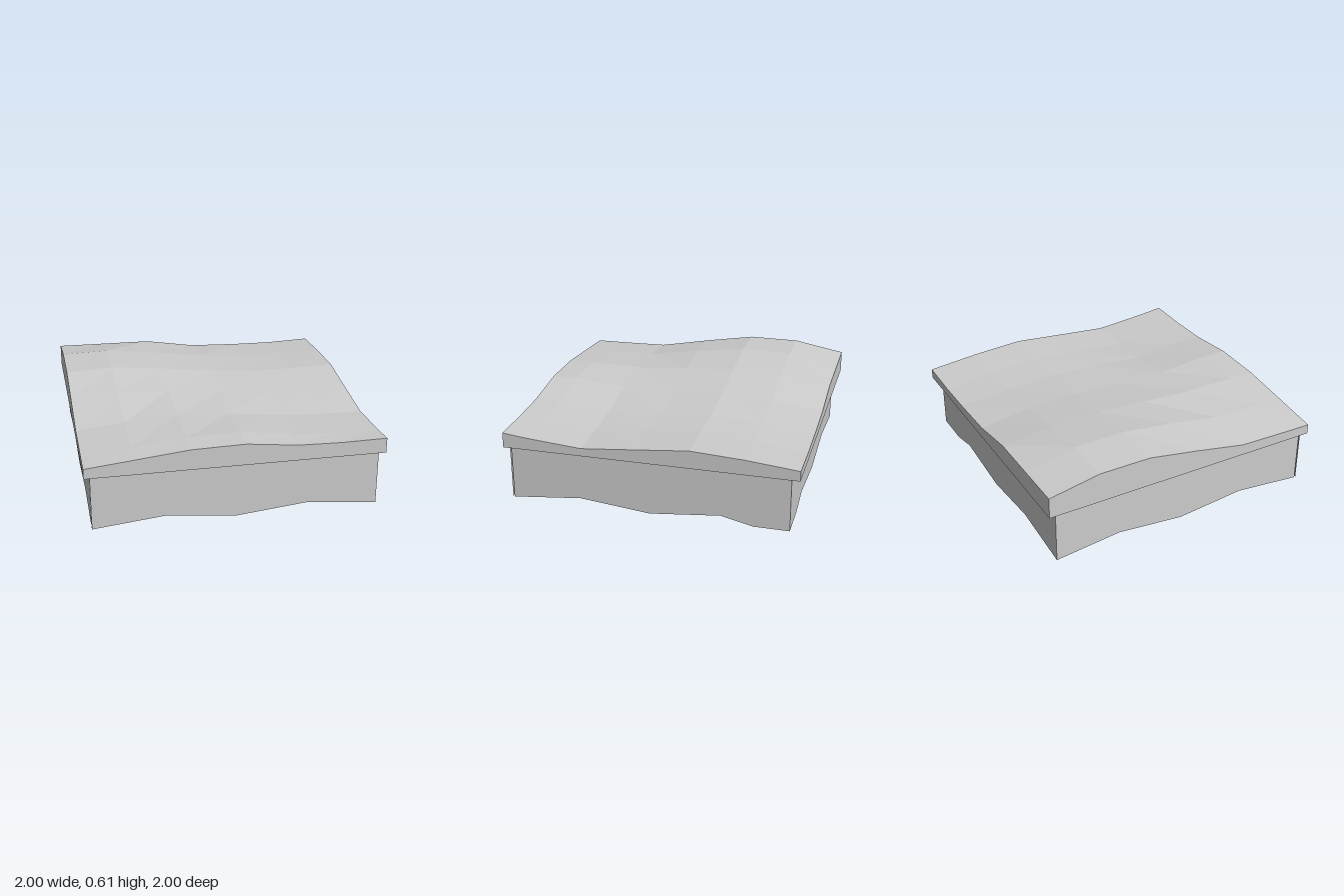
import * as THREE from 'three';

const material = new THREE.MeshStandardMaterial({ color: 0xcccccc, flatShading: true, side: THREE.DoubleSide });

// Grid lines and surface heights (rows run back to front, columns along x)
const xs = [-1, -0.67, -0.31, 0.05, 0.4, 0.69, 1];
const zs = [-1, -0.64, -0.28, 0.08, 0.45, 0.82, 1];
const heights = [
  [0.535, 0.53, 0.525, 0.465, 0.45, 0.445, 0.455],
  [0.6, 0.608, 0.565, 0.515, 0.485, 0.48, 0.49],
  [0.6, 0.613, 0.575, 0.53, 0.505, 0.503, 0.51],
  [0.537, 0.565, 0.548, 0.51, 0.485, 0.475, 0.475],
  [0.465, 0.505, 0.525, 0.505, 0.465, 0.445, 0.44],
  [0.457, 0.495, 0.53, 0.535, 0.49, 0.475, 0.47],
  [0.455, 0.49, 0.528, 0.535, 0.495, 0.487, 0.49],
];
const RIM_Y = 0.385;

function addMesh(group, name, geometry) {
  const mesh = new THREE.Mesh(geometry, material);
  mesh.name = name;
  group.add(mesh);
}

// Vertical wall: a strip between two matching rows of points
function wall(top, bottom) {
  const n = top.length;
  const index = [];
  for (let i = 0; i < n - 1; i++) index.push(i, n + i, i + 1, n + i, n + i + 1, i + 1);
  const geometry = new THREE.BufferGeometry();
  geometry.setAttribute('position', new THREE.Float32BufferAttribute([...top, ...bottom].flat(), 3));
  geometry.setIndex(index);
  geometry.computeVertexNormals();
  return geometry;
}

export function createModel() {
  const group = new THREE.Group();

  // Rolling top surface
  const ground = new THREE.PlaneGeometry(2, 2, 6, 6);
  const pos = ground.attributes.position;
  for (let i = 0; i < pos.count; i++) {
    const col = i % 7, row = Math.floor(i / 7);
    pos.setXYZ(i, xs[col], heights[row][col], zs[row]);
  }
  ground.computeVertexNormals();
  addMesh(group, 'terrainTop', ground);

  // Rim hanging from each edge of the top, ordered to face outwards
  const at = (row, col) => [xs[col], heights[row][col], zs[row]];
  const steps = [0, 1, 2, 3, 4, 5, 6];
  const rims = {
    frontRim: steps.map((i) => at(6, i)),
    leftRim: steps.map((i) => at(6 - i, 6)),
    backRim: steps.map((i) => at(0, 6 - i)),
    rightRim: steps.map((i) => at(i, 0)),
  };
  for (const [name, top] of Object.entries(rims)) {
    addMesh(group, name, wall(top, top.map(([x, , z]) => [x, RIM_Y, z])));
  }

  // Inset skirt with a wavy lower edge: [position along the wall, height]
  const wave = [[-0.96, 0], [-0.48, 0.05], [0, 0], [0.48, 0.05], [0.96, 0]];
  const kinked = [[-0.96, 0], [-0.48, 0.05], [0, 0], [0.48, 0.05], [0.7, 0], [0.96, 0]];
  const endZ = (z) => THREE.MathUtils.clamp(z, -0.94, 0.97);
  const skirts = {
    frontSkirt: wave.map(([t, y]) => [t, y, 0.97]),
    leftSkirt: kinked.map(([t, y]) => [0.96, y, endZ(-t)]),
    backSkirt: kinked.map(([t, y]) => [t, y, -0.94]).reverse(),
    rightSkirt: wave.map(([t, y]) => [-0.96, y, endZ(t)]),
  };
  for (const [name, bottom] of Object.entries(skirts)) {
    addMesh(group, name, wall(bottom.map(([x, , z]) => [x, RIM_Y, z]), bottom));
  }

  return group;
}
